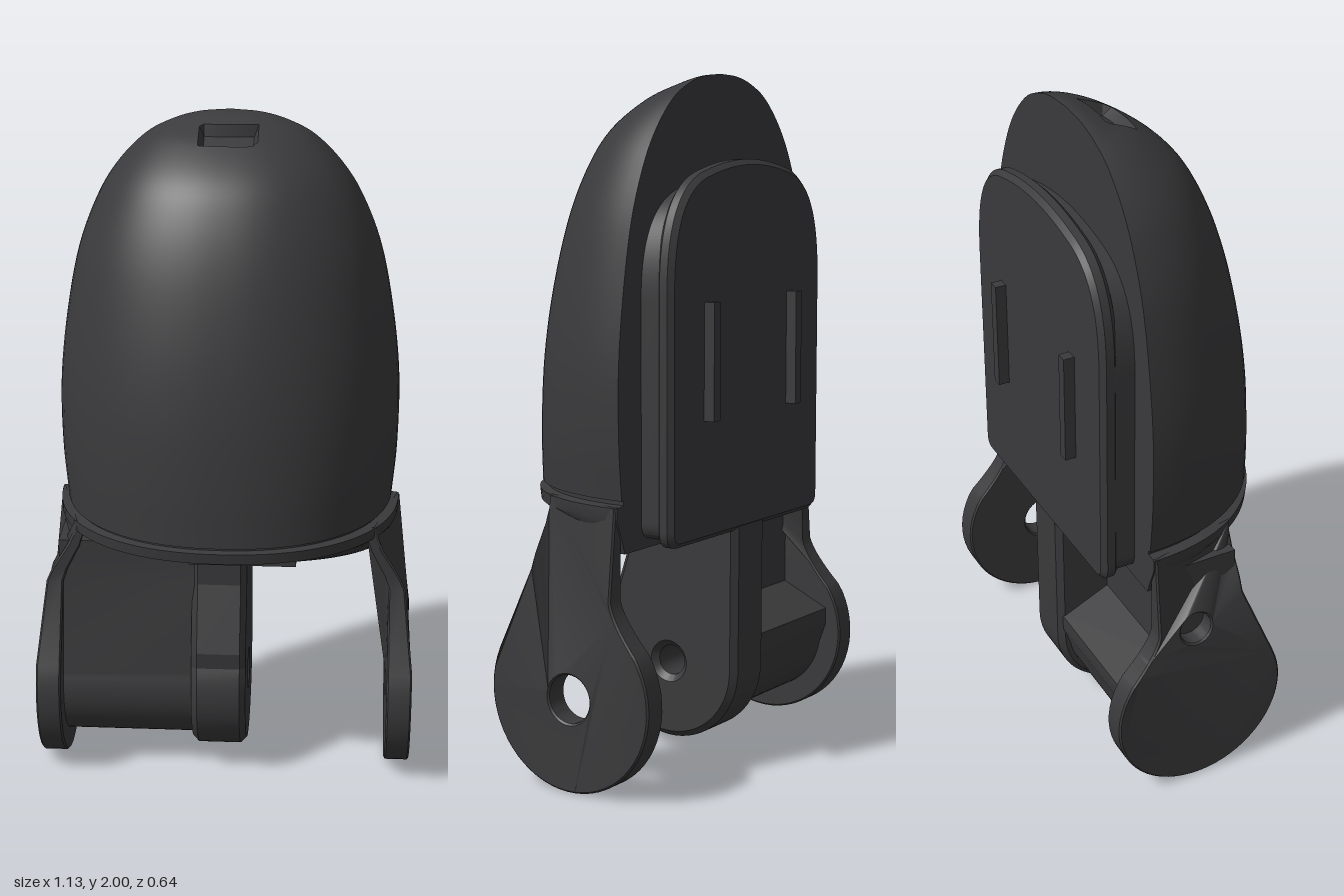
import * as THREE from 'three';
import { toCreasedNormals } from 'three/addons/utils/BufferGeometryUtils.js';

const material = new THREE.MeshStandardMaterial({ color: 0x3a3a3c });
const BACK = -0.185; // flat back plane of the shell
const PIN = [0.05, 0.27]; // hinge axis as (-z, y)

function add(group, name, geometry, crease = 0.55) {
  const mesh = new THREE.Mesh(toCreasedNormals(geometry, crease), material);
  mesh.name = name;
  group.add(mesh);
}

function box(group, name, x0, x1, y0, y1, z0, z1) {
  const g = new THREE.BoxGeometry(x1 - x0, y1 - y0, z1 - z0);
  g.translate((x0 + x1) / 2, (y0 + y1) / 2, (z0 + z1) / 2);
  add(group, name, g);
}

// Superellipse quarter: the other coordinate for s in 0..1
const oval = (s) => Math.pow(Math.max(0, 1 - Math.pow(Math.abs(s), 2.2)), 1 / 2.2);

// Half-oval cross-section; a pair of columns follows the slot's sides
function halfOval(w, y, front) {
  const cut = Math.asin(Math.min(0.085 / w, 0.8));
  const half = [];
  for (let i = 0; i <= 6; i++) half.push((cut * i) / 6);
  for (let i = 1; i <= 18; i++) half.push(cut + ((Math.PI / 2 - cut) * i) / 18);
  const angles = [...half.slice(1).reverse().map((a) => -a), ...half];
  return angles.map((a) => {
    const s = Math.sin(a);
    return new THREE.Vector3(w * s, y, BACK + (front - BACK) * oval(s));
  });
}

// Closed skin through rings of equal length, capped at both ends
function loft(rings) {
  const n = rings[0].length;
  const index = [];
  for (let i = 0; i < rings.length - 1; i++) {
    for (let j = 0; j < n; j++) {
      const a = i * n + j, b = i * n + ((j + 1) % n);
      index.push(a, b, b + n, a, b + n, a + n);
    }
  }
  const top = (rings.length - 1) * n;
  for (let j = 1; j < n - 1; j++) {
    index.push(0, j + 1, j);
    index.push(top, top + j, top + j + 1);
  }
  const g = new THREE.BufferGeometry().setFromPoints(rings.flat());
  g.setIndex(index);
  return g;
}

const extrude = (shape, depth, bevel) => new THREE.ExtrudeGeometry(shape, {
  depth: depth - 2 * bevel, curveSegments: 20, bevelEnabled: bevel > 0,
  bevelSize: bevel, bevelThickness: bevel, bevelOffset: -bevel, bevelSegments: 1,
}).translate(0, 0, bevel);

// Side profile drawn as (-z, y), extruded from x0 to x1
const sideExtrude = (shape, x0, x1, bevel) =>
  extrude(shape, x1 - x0, bevel).rotateY(Math.PI / 2).translate(x0, 0, 0);

function hole(shape, x, y, r) {
  shape.holes.push(new THREE.Path().absarc(x, y, r, 0, Math.PI * 2, true));
}

// Domed shell with a small sunken slot near its tip
function shellGeometry() {
  const profile = [
    [0.495, 0.835, 0.32], [0.508, 1.0, 0.315], [0.508, 1.2, 0.3], [0.486, 1.4, 0.27],
    [0.446, 1.6, 0.222], [0.388, 1.75, 0.165], [0.325, 1.85, 0.1], [0.245, 1.93, -0.005],
    [0.165, 1.972, -0.1], [0.09, 1.993, -0.15], [0.01, 2.0, -0.18],
  ];
  const curve = new THREE.CatmullRomCurve3(profile.map((p) => new THREE.Vector3(...p)), false, 'catmullrom', 0.5);
  const steps = 6, rows = (profile.length - 1) * steps;
  const rings = [];
  for (let i = 0; i <= rows; i++) {
    const p = curve.getPoint(i / rows);
    const ring = halfOval(p.x, p.y, p.z);
    if (i > 7 * steps && i < 8 * steps) {
      for (let j = 19; j <= 29; j++) ring[j].add(new THREE.Vector3(0, -0.03, -0.01));
    }
    rings.push(ring);
  }
  return loft(rings);
}

// Hinge ear: round eye and a neck that bends inward to follow the collar's oval
function earGeometry(side) {
  const rad = Math.PI / 180;
  const s = new THREE.Shape();
  s.moveTo(0.18, 0.82);
  s.lineTo(-0.1, 0.82);
  for (const y of [0.78, 0.74, 0.7, 0.66, 0.62]) s.lineTo(-0.1, y);
  s.lineTo(-0.197, 0.38);
  s.absarc(PIN[0], PIN[1], 0.27, 156 * rad, 393 * rad, false);
  s.quadraticCurveTo(0.19, 0.51, 0.18, 0.56);
  for (const y of [0.62, 0.66, 0.7, 0.74, 0.78]) s.lineTo(0.18, y);
  if (side > 0) hole(s, ...PIN, 0.07);
  else hole(s, 0.06, 0.55, 0.05);
  const g = sideExtrude(s, side > 0 ? 0.49 : -0.565, side > 0 ? 0.565 : -0.49, 0.005);
  const p = g.attributes.position;
  for (let i = 0; i < p.count; i++) {
    const y = p.getY(i);
    const lean = Math.abs(p.getX(i)) > 0.53 ? 0.11 * Math.max(0, y - 0.4) : 0;
    const depth = Math.max(0, p.getZ(i) - BACK) / 0.505;
    const bend = THREE.MathUtils.smoothstep(y, 0.6, 0.8) * 0.517 * (1 - oval(depth));
    p.setX(i, p.getX(i) - side * (lean + bend));
  }
  return g;
}

// Arched back plate outline
function plateShape(w, bottom, shoulder, top) {
  const s = new THREE.Shape();
  s.moveTo(-w + 0.05, bottom);
  s.lineTo(w - 0.05, bottom);
  s.quadraticCurveTo(w, bottom, w, bottom + 0.05);
  s.lineTo(w, shoulder);
  s.bezierCurveTo(w, top - 0.15, w - 0.07, top - 0.05, w - 0.2, top - 0.025);
  s.quadraticCurveTo(0, top + 0.025, -w + 0.2, top - 0.025);
  s.bezierCurveTo(-w + 0.07, top - 0.05, -w, top - 0.15, -w, shoulder);
  s.lineTo(-w, bottom + 0.05);
  s.quadraticCurveTo(-w, bottom, -w + 0.05, bottom);
  return s;
}

export function createModel() {
  const group = new THREE.Group();
  group.name = 'hingedShell';

  add(group, 'shell', shellGeometry(), 0.5);

  // Collar under the shell, flaring forward, with a neck that leaves a fine seam
  const collar = [
    [0.48, 0.685, 0.08], [0.485, 0.7, 0.115], [0.495, 0.73, 0.17], [0.51, 0.765, 0.26],
    [0.516, 0.785, 0.315], [0.517, 0.818, 0.32], [0.485, 0.822, 0.3], [0.485, 0.85, 0.3],
  ];
  add(group, 'collar', loft(collar.map((p) => halfOval(...p))));
  box(group, 'collarTab', -0.1, 0.215, 0.74, 0.81, 0.1, 0.22);

  // Back plates and their two rails
  add(group, 'innerBackPlate', extrude(plateShape(0.4, 0.71, 1.38, 1.71), 0.09, 0).translate(0, 0, -0.26));
  add(group, 'outerBackPlate', extrude(plateShape(0.402, 0.69, 1.4, 1.76), 0.055, 0.015).translate(0, 0, -0.287));
  for (const x of [-0.222, 0.222]) box(group, 'backRail', x - 0.016, x + 0.016, 1.035, 1.37, -0.32, -0.27);

  add(group, 'leftEar', earGeometry(1));
  add(group, 'rightEar', earGeometry(-1));

  // Central lug running down from the back plate
  const lug = new THREE.Shape();
  lug.moveTo(0.285, 0.78);
  lug.lineTo(-0.1, 0.78);
  lug.lineTo(-0.1, 0.62);
  lug.lineTo(-0.165, 0.42);
  lug.absarc(PIN[0], PIN[1], 0.233, Math.PI * 0.86, Math.PI * 2, false);
  hole(lug, ...PIN, 0.045);
  add(group, 'centreLug', sideExtrude(lug, -0.1, 0.065, 0.018), 0.3);

  // Hinge barrel with a web rising to the collar and a ledged recess behind it
  const barrel = new THREE.Shape();
  barrel.moveTo(0.12, 0.75);
  barrel.lineTo(-0.09, 0.75);
  barrel.lineTo(-0.09, 0.62);
  barrel.lineTo(-0.14, 0.34);
  barrel.absarc(PIN[0], PIN[1], 0.2, Math.PI * 0.9, Math.PI * 1.95, false);
  barrel.lineTo(0.27, 0.3);
  barrel.lineTo(0.27, 0.35);
  barrel.lineTo(0.12, 0.42);
  add(group, 'hingeBarrel', sideExtrude(barrel, -0.5, -0.08, 0));

  return group;
}
